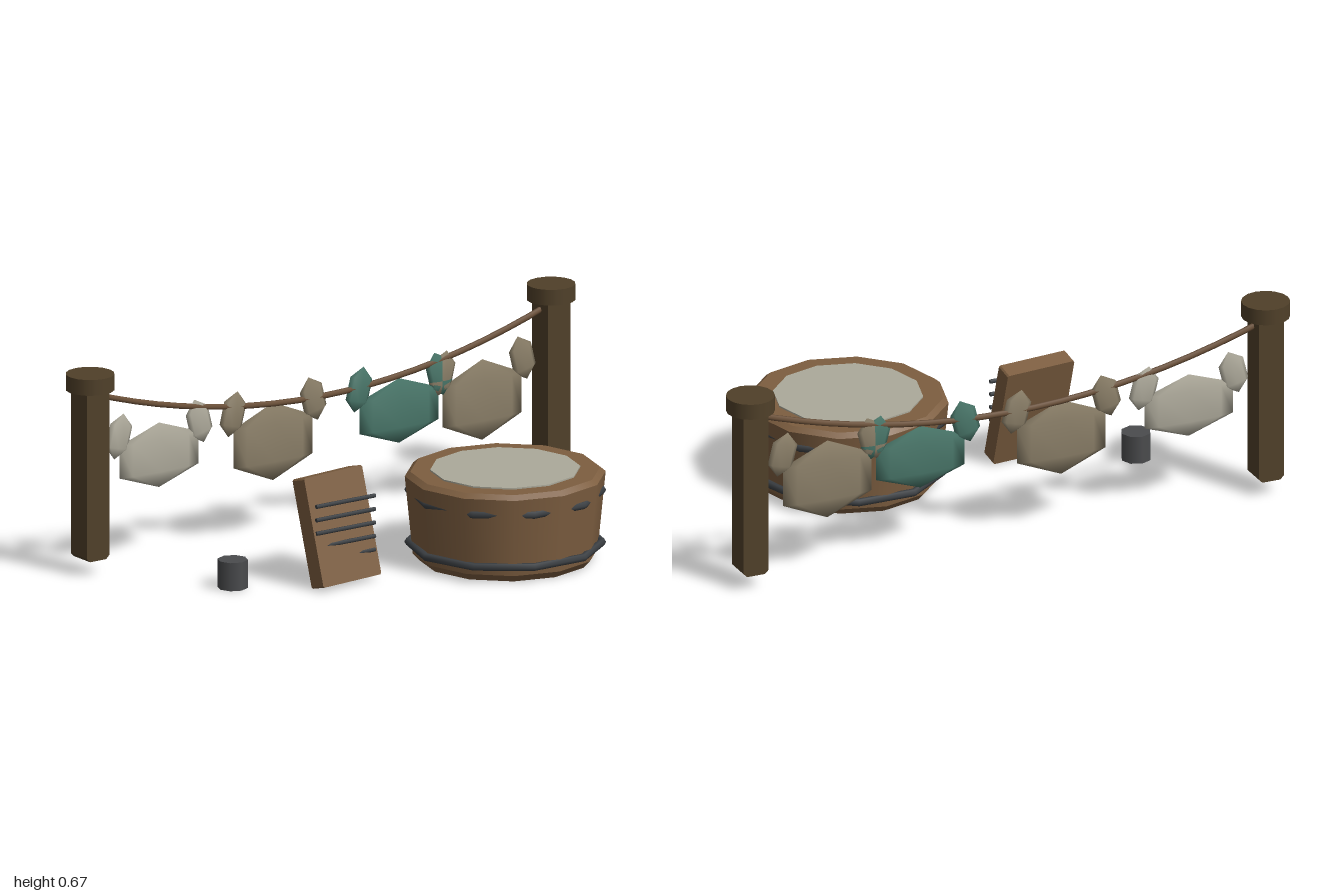
import * as THREE from 'three';

const paint = (name, color) => {
  const m = new THREE.MeshStandardMaterial({ color });
  m.name = name;
  return m;
};

export function createModel() {
  const wood = paint('tub wood', 0x7d5e40);
  const darkWood = paint('post wood', 0x504029);
  const ropeBrown = paint('rope brown', 0x6b5038);
  const iron = paint('iron', 0x3c4044);
  const stone = paint('bucket grey', 0x4b4c4e);
  const water = paint('pale water', 0xacaa9b);
  const paleCloth = paint('pale cloth', 0xb0ac9d);
  const tanCloth = paint('tan cloth', 0x8c8069);
  const tealCloth = paint('teal cloth', 0x4a786b);

  const model = new THREE.Group();
  model.name = 'laundryYard';

  const add = (name, geometry, material, x = 0, y = 0, z = 0, parent = model) => {
    const mesh = new THREE.Mesh(geometry, material);
    mesh.name = name;
    mesh.position.set(x, y, z);
    parent.add(mesh);
    return mesh;
  };

  // Block whose four corners seen from the front are cut off
  const chamferedBlock = (w, h, d, c) => {
    const a = w / 2, b = h / 2;
    const shape = new THREE.Shape([
      [-a + c, -b], [a - c, -b], [a, -b + c], [a, b - c],
      [a - c, b], [-a + c, b], [-a, b - c], [-a, -b + c],
    ].map(([x, y]) => new THREE.Vector2(x, y)));
    return new THREE.ExtrudeGeometry(shape, { depth: d, bevelEnabled: false }).translate(0, 0, -d / 2);
  };

  // Posts with round caps
  const lineZ = -0.447;
  for (const side of [-1, 1]) {
    const post = new THREE.Group();
    post.name = side > 0 ? 'leftPost' : 'rightPost';
    post.position.set(side * 0.92, 0, lineZ);
    model.add(post);
    add('postShaft', chamferedBlock(0.09, 0.58, 0.09, 0.013), darkWood, 0, 0.34, 0, post);
    add('postCap', new THREE.CylinderGeometry(0.08, 0.08, 0.053, 16), darkWood, 0, 0.6455, 0, post);
  }

  // Sagging line
  const sag = new THREE.QuadraticBezierCurve3(
    new THREE.Vector3(-0.92, 0.605, lineZ),
    new THREE.Vector3(0, 0.28, lineZ),
    new THREE.Vector3(0.92, 0.605, lineZ));
  add('clothesLine', new THREE.TubeGeometry(sag, 20, 0.01, 6), ropeBrown);

  // Hanging garments: a flat body and two tilted sleeves
  const pad = new THREE.SphereGeometry(1, 8, 3);
  const garments = [
    [-0.645, 0.352, 0.109, paleCloth],
    [-0.19, 0.322, 0.131, tanCloth],
    [0.313, 0.343, 0.109, tealCloth],
    [0.645, 0.325, 0.136, tanCloth],
  ];
  garments.forEach(([x, y, halfHeight, cloth], i) => {
    const garment = new THREE.Group();
    garment.name = 'garment' + (i + 1);
    garment.position.set(x, 0, lineZ);
    model.add(garment);
    add('garmentBody', pad, cloth, 0, y, 0, garment).scale.set(0.182, halfHeight, 0.018);
    for (const side of [-1, 1]) {
      const sleeve = add('sleeve', pad, cloth, side * 0.16, 0.44, 0, garment);
      sleeve.scale.set(0.052, 0.077, 0.014);
      sleeve.rotation.z = side * 0.25;
    }
  });

  // Wash tub with two hoops
  const tub = new THREE.Group();
  tub.name = 'washTub';
  tub.position.set(0.277, 0, 0.197);
  model.add(tub);
  const tubProfile = [
    [0, 0], [0.28, 0], [0.28, 0], [0.302, 0.024], [0.302, 0.024],
    [0.328, 0.285], [0.328, 0.285], [0.31, 0.3], [0.31, 0.3], [0, 0.3],
  ].map(([r, y]) => new THREE.Vector2(r, y));
  add('tubBody', new THREE.LatheGeometry(tubProfile, 12), wood, 0, 0, 0, tub);
  add('waterSurface', new THREE.CylinderGeometry(0.245, 0.245, 0.008, 12), water, 0, 0.301, 0, tub);
  for (const y of [0.055, 0.231]) {
    const hoop = new THREE.TorusGeometry(0.315, 0.013, 6, 10).rotateX(Math.PI / 2);
    add('hoop', hoop, iron, 0, y, 0, tub);
  }

  // Leaning washboard with straight ridges
  const board = add('washboard', chamferedBlock(0.25, 0.362, 0.06, 0.005), wood, -0.327, 0.183, 0.102);
  board.rotation.set(-0.27, 0.1, 0, 'YXZ');
  for (let i = 0; i < 5; i++) {
    const ridge = new THREE.CylinderGeometry(0.007, 0.007, 0.235, 6).rotateZ(Math.PI / 2);
    add('washboardRidge', ridge, iron, -0.323, 0.097 + i * 0.0455, 0.145);
  }

  // Small bucket
  add('bucket', new THREE.CylinderGeometry(0.05, 0.05, 0.095, 8), stone, -0.645, 0.0475, -0.035);

  return model;
}
